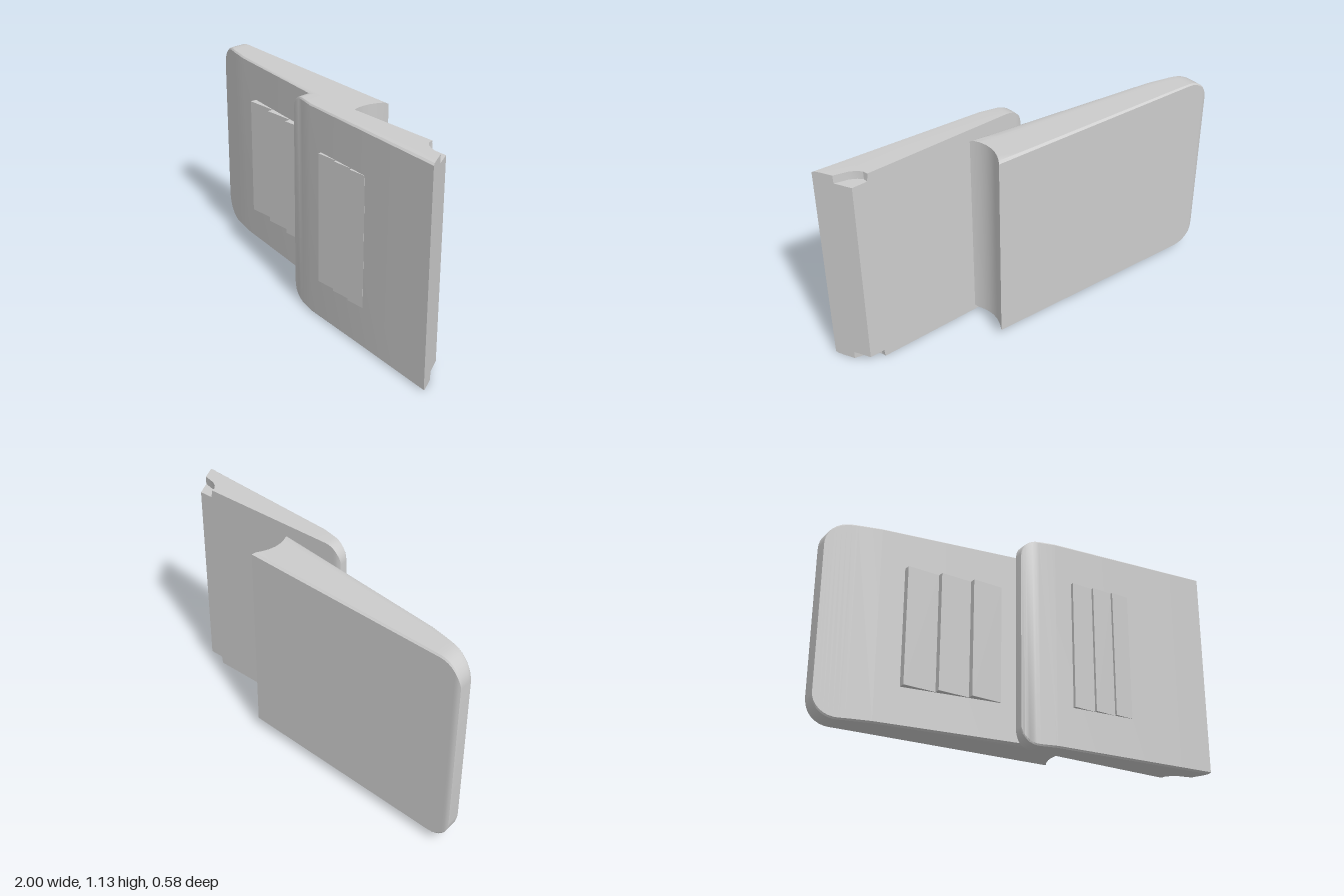
import * as THREE from 'three';
import { toCreasedNormals } from 'three/addons/utils/BufferGeometryUtils.js';

// piecewise linear value through [x, value] pairs
function sample(points, x) {
  for (let i = 1; i < points.length; i++) {
    const [x0, v0] = points[i - 1], [x1, v1] = points[i];
    if (x <= x1 || i === points.length - 1) return v0 + (v1 - v0) * (x - x0) / (x1 - x0);
  }
}

// Slab lofted along x, with rounded corners at its -x end and a shaped +x end
function slabGeometry({ y0, y1, r, back, front, inner, hollow, notch }) {
  const mid = (y0 + y1) / 2, H = (y1 - y0) / 2, x0 = back[0][0];
  const stations = [];
  for (let i = 0; i <= 8; i++) {
    const a = i / 8 * Math.PI / 2;
    const x = x0 + r * (1 - Math.cos(a));
    stations.push({ xb: x, xf: x, h: H - r + r * Math.sin(a), n: 0 });
  }
  inner.forEach(([x, n]) => stations.push({ xb: x, xf: x, h: H, n }));
  const endB = back[back.length - 1][0], endF = front[front.length - 1][0];
  stations.push({ xb: endB, xf: endF, h: H, n: notch ? 0.46 : 0, end: true });

  const rings = stations.map(({ xb, xf, h, n, end }) => {
    const zb = sample(back, xb), zf = sample(front, xf);
    // [position from back to front, inset of the edge]
    const edge = notch
      ? [[0, n ? notch : 0.008], [n, n ? notch : 0], [n + 0.01, 0], [0.75, 0], [0.94, 0.002], [1, 0.01]]
      : [[0, 0.008], [0.06, 0], [0.2, 0], [0.35, 0], [0.5, 0], [0.65, 0], [0.8, 0], [0.94, 0.002], [1, 0.01]];
    const top = edge.map(([t, inset]) => new THREE.Vector3(
      xb + (xf - xb) * t - (end ? hollow * 4 * t * (1 - t) : 0),
      mid + h - inset,
      zb + (zf - zb) * t));
    const bottom = top.map(p => new THREE.Vector3(p.x, 2 * mid - p.y, p.z)).reverse();
    return [...top, ...bottom];
  });

  const pos = [];
  const quad = (a, b, c, d) => [a, b, c, a, c, d].forEach(p => pos.push(p.x, p.y, p.z));
  const n = rings[0].length;
  for (let i = 0; i < rings.length - 1; i++)
    for (let j = 0; j < n; j++) {
      const k = (j + 1) % n;
      quad(rings[i][j], rings[i][k], rings[i + 1][k], rings[i + 1][j]);
    }
  // end faces
  const first = rings[0], last = rings[rings.length - 1];
  for (let j = 0; j < n / 2 - 1; j++) {
    quad(last[j], last[j + 1], last[n - 2 - j], last[n - 1 - j]);
    quad(first[n - 1 - j], first[n - 2 - j], first[j + 1], first[j]);
  }
  const g = new THREE.BufferGeometry();
  g.setAttribute('position', new THREE.Float32BufferAttribute(pos, 3));
  return toCreasedNormals(g, 0.5);
}

export function createModel() {
  const group = new THREE.Group();
  const grey = new THREE.MeshStandardMaterial({ color: 0xcccccc });
  grey.name = 'grey';
  const add = (name, geometry) => {
    const mesh = new THREE.Mesh(geometry, grey);
    mesh.name = name;
    group.add(mesh);
    return mesh;
  };

  // large rear slab with a hollow end
  add('rearSlab', slabGeometry({
    y0: 0.045, y1: 1.097, r: 0.12, hollow: 0.04,
    back: [[-1, -0.29], [-0.985, -0.295], [0.295, -0.178]],
    front: [[-1, -0.212], [-0.97, -0.2], [-0.85, -0.155], [-0.73, -0.12], [0.275, 0.06]],
    inner: [[-0.85, 0], [-0.73, 0], [0.15, 0]],
  }));

  // thin front slab with a slanted end and notched back corners
  add('frontSlab', slabGeometry({
    y0: 0.003, y1: 1.135, r: 0.09, hollow: 0, notch: 0.042,
    back: [[-0.055, 0.075], [-0.035, 0.068], [0.91, 0.108]],
    front: [[-0.055, 0.122], [-0.04, 0.13], [0.12, 0.178], [1, 0.29]],
    inner: [[0.12, 0], [0.825, 0], [0.83, 0.15], [0.85, 0.28], [0.88, 0.38]],
  }));

  // stepped grip ridges: each is flat and runs flush into the slope
  const ridges = (name, y0, y1, depth, steps) => steps.forEach(([xa, xb, z], i) => {
    const ridge = add(name + (i + 1), new THREE.BoxGeometry(xb - xa, y1 - y0, depth));
    ridge.position.set((xa + xb) / 2, (y0 + y1) / 2, z - depth / 2);
  });
  ridges('rearRidge', 0.25, 0.89, 0.06,
    [[-0.605, -0.43, -0.062], [-0.43, -0.26, -0.031], [-0.26, -0.095, 0]]);
  ridges('frontRidge', 0.226, 0.915, 0.04,
    [[0.21, 0.33, 0.206], [0.33, 0.445, 0.22], [0.445, 0.545, 0.233]]);
  return group;
}
